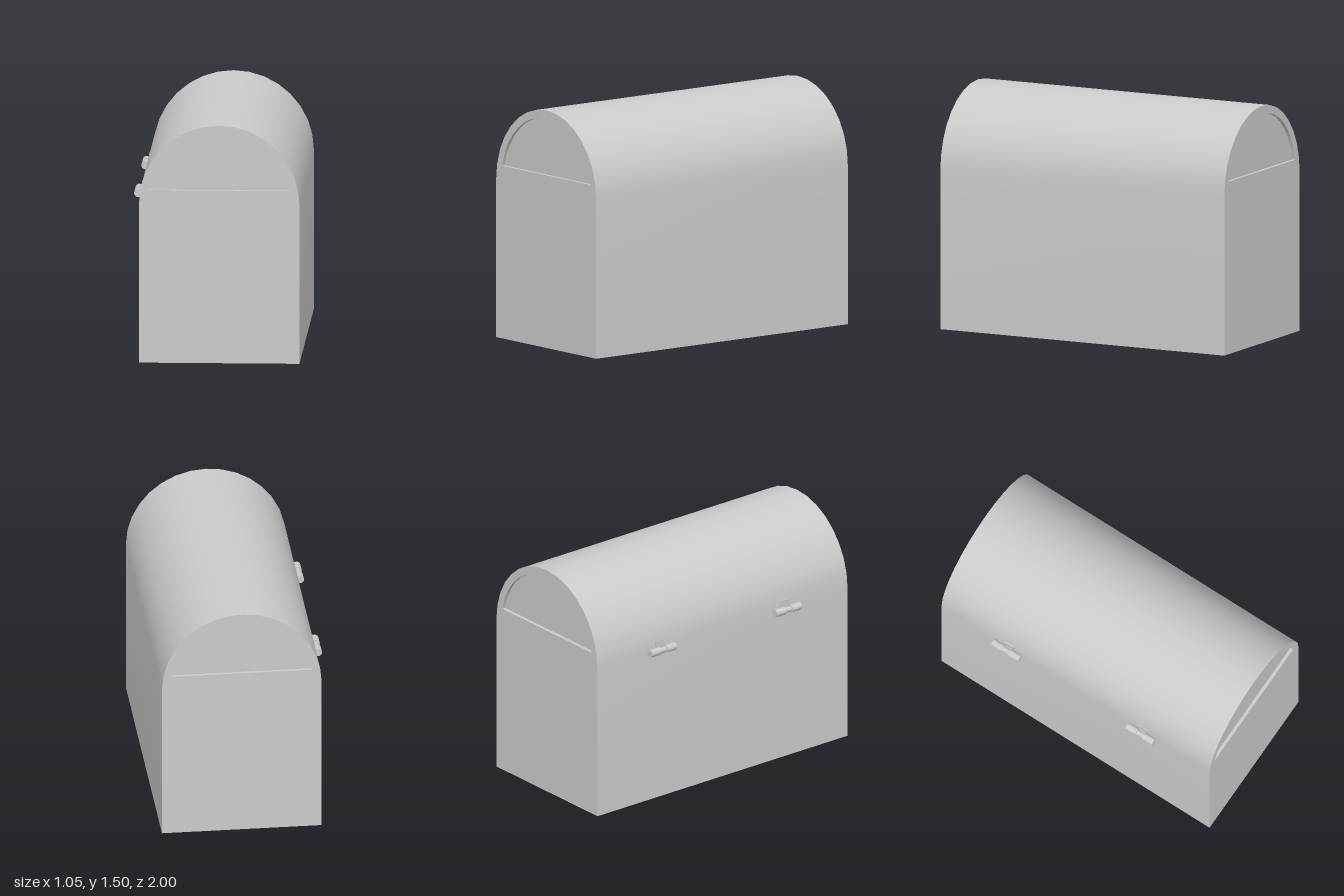
import * as THREE from 'three';
import { toCreasedNormals } from 'three/addons/utils/BufferGeometryUtils.js';

const CX = 0.023, SPRING = 1, R = 0.5, LENGTH = 2;
const PANEL_R = 0.45, PANEL_Y = 1.09, RECESS = 0.02;

// Half-moon outline of the end panels: an arc closed by a chord
function halfMoonPoints() {
  const a = Math.asin((PANEL_Y - SPRING) / PANEL_R), points = [];
  for (let i = 0; i <= 16; i++) {
    const t = a + (Math.PI - 2 * a) * i / 16;
    points.push(new THREE.Vector2(PANEL_R * Math.cos(t), SPRING + PANEL_R * Math.sin(t)));
  }
  return points;
}

export function createModel() {
  const group = new THREE.Group();
  const material = new THREE.MeshStandardMaterial({ color: 0xcccccc });
  const add = (parent, name, geometry, x, y, z) => {
    const mesh = new THREE.Mesh(geometry, material);
    mesh.name = name;
    mesh.position.set(x, y, z);
    parent.add(mesh);
    return mesh;
  };

  // Chest body with barrel-vaulted lid
  const outline = [new THREE.Vector2(-R, 0), new THREE.Vector2(R, 0)];
  for (let i = 0; i <= 16; i++) {
    const t = Math.PI * i / 16;
    outline.push(new THREE.Vector2(R * Math.cos(t), SPRING + R * Math.sin(t)));
  }
  const shape = new THREE.Shape(outline);
  shape.holes.push(new THREE.Path(halfMoonPoints()));
  const body = new THREE.ExtrudeGeometry(shape, { depth: LENGTH, bevelEnabled: false });
  add(group, 'chestBody', toCreasedNormals(body, Math.PI / 6), CX, 0, -LENGTH / 2);

  // Recessed half-moon panels at both ends
  const panel = new THREE.ShapeGeometry(new THREE.Shape(halfMoonPoints()));
  add(group, 'frontPanel', panel, CX, 0, LENGTH / 2 - RECESS);
  add(group, 'backPanel', panel, CX, 0, RECESS - LENGTH / 2).rotation.y = Math.PI;

  // Two hinges: paired knuckles, a thinner pin and a thin leaf on the wall
  const knuckle = new THREE.CylinderGeometry(0.025, 0.025, 0.075, 16).rotateX(Math.PI / 2);
  const pin = new THREE.CylinderGeometry(0.018, 0.018, 0.06, 16).rotateX(Math.PI / 2);
  const leaf = new THREE.BoxGeometry(0.006, 0.12, 0.07);
  const strap = new THREE.BoxGeometry(0.02, 0.016, 0.04);
  for (const z of [-0.5, 0.5]) {
    const hinge = new THREE.Group();
    hinge.name = z > 0 ? 'frontHinge' : 'backHinge';
    hinge.position.set(-0.5, SPRING, z);
    for (const s of [-1, 1]) add(hinge, 'hingeKnuckle', knuckle, 0, 0, s * 0.0625);
    add(hinge, 'hingePin', pin, 0, 0, 0);
    add(hinge, 'hingeStrap', strap, 0.015, 0, 0);
    add(hinge, 'hingeLeaf', leaf, 0.024, 0, 0);
    group.add(hinge);
  }
  return group;
}
